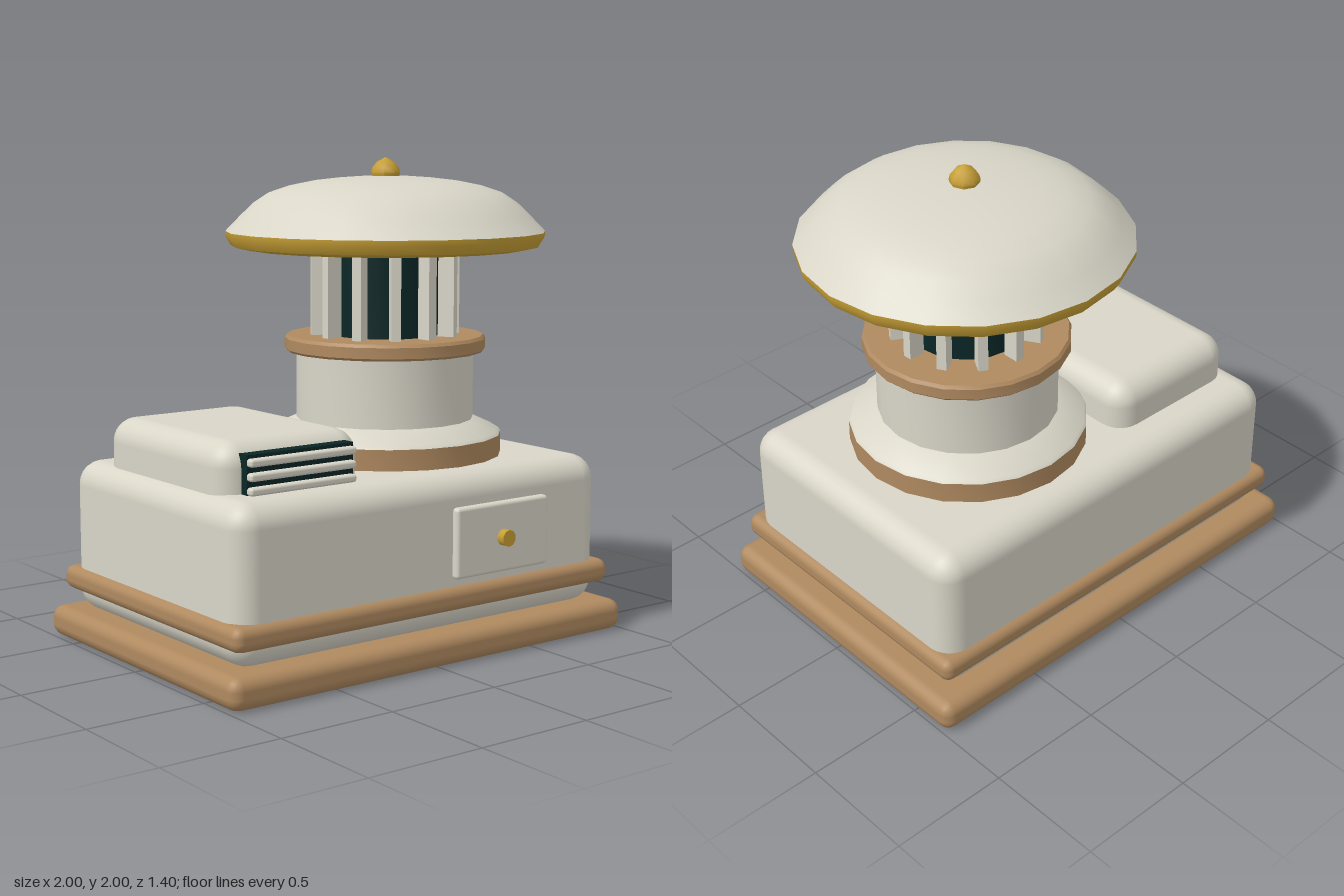
import * as THREE from 'three';
import { toCreasedNormals } from 'three/addons/utils/BufferGeometryUtils.js';
import { RoundedBoxGeometry } from 'three/addons/geometries/RoundedBoxGeometry.js';

const SIDES = 20;

function mat(name, color) {
  const m = new THREE.MeshStandardMaterial({ color });
  m.name = name;
  return m;
}

export function createModel() {
  const cream = mat('cream', 0xd9d6c8);
  const tan = mat('tan', 0xb08a60);
  const gold = mat('gold', 0xc79f35);
  const dark = mat('dark teal', 0x0b2626);

  const model = new THREE.Group();
  model.name = 'ventilatorHouse';
  const turret = new THREE.Group();
  turret.name = 'turret';
  turret.position.x = 0.25;
  model.add(turret);

  function add(parent, name, geometry, material, x = 0, y = 0, z = 0) {
    const mesh = new THREE.Mesh(geometry, material);
    mesh.name = name;
    mesh.position.set(x, y, z);
    parent.add(mesh);
    return mesh;
  }

  // Rounded box given by its lower and upper limits
  function block(name, [x0, x1], [y0, y1], [z0, z1], radius, material, segments = 2) {
    const g = new RoundedBoxGeometry(x1 - x0, y1 - y0, z1 - z0, segments, radius);
    return add(model, name, g, material, (x0 + x1) / 2, (y0 + y1) / 2, (z0 + z1) / 2);
  }

  // Turned part from a [radius, height] profile, listed bottom to top
  function turned(name, profile, material, sides = SIDES, crease = 0.6) {
    const points = profile.map(([r, y]) => new THREE.Vector2(r, y));
    const g = toCreasedNormals(new THREE.LatheGeometry(points, sides), crease);
    return add(turret, name, g, material);
  }

  // Plinth, body and trim
  block('plinth', [-1, 1], [0, 0.13], [-0.7, 0.7], 0.05, tan);
  block('body', [-0.925, 0.925], [0.12, 0.755], [-0.625, 0.625], 0.1, cream, 3);
  block('bodyTrim', [-0.955, 0.955], [0.205, 0.305], [-0.655, 0.655], 0.04, tan);

  // Front hatch and knob
  block('hatch', [0.105, 0.595], [0.335, 0.625], [0.6, 0.655], 0.015, cream);
  const knob = add(model, 'hatchKnob', new THREE.CylinderGeometry(0.035, 0.035, 0.035, 10), gold, 0.35, 0.48, 0.6725);
  knob.rotation.x = Math.PI / 2;

  // Roof vent housing with louvred grille
  block('ventHousing', [-0.86, -0.19], [0.65, 0.952], [-0.45, 0.43], 0.1, cream, 3);
  add(model, 'grilleBack', new THREE.BoxGeometry(0.5, 0.16, 0.1), dark, -0.525, 0.83, 0.415);
  for (const y of [0.88, 0.825, 0.77]) {
    block('grilleSlat', [-0.775, -0.275], [y - 0.016, y + 0.016], [0.45, 0.495], 0.012, cream);
  }

  // Turret foot, drum and collar
  turned('turretFoot', [[0, 0.74], [0.495, 0.74], [0.495, 0.842]], tan);
  turned('turretShoulder', [[0.495, 0.842], [0.485, 0.855], [0.375, 0.905]], cream);
  turned('drum', [[0.375, 0.88], [0.375, 1.2]], cream);
  turned('collar', [[0.36, 1.19], [0.415, 1.19], [0.425, 1.2], [0.425, 1.245], [0.415, 1.258], [0, 1.258]], tan);

  // Lantern core with radial fins
  turned('lanternCore', [[0.23, 1.25], [0.23, 1.63]], dark);
  for (let i = 0; i < 12; i++) {
    const a = (i / 12) * Math.PI * 2;
    const fin = add(turret, 'lanternFin', new THREE.BoxGeometry(0.04, 0.38, 0.07), cream,
      Math.sin(a) * 0.28, 1.44, Math.cos(a) * 0.28);
    fin.rotation.y = a;
  }

  // Cap with underside, gold rim and finial
  turned('capUnderside', [[0, 1.625], [0.6, 1.625]], cream);
  turned('capRim', [[0.575, 1.632], [0.59, 1.62], [0.65, 1.633], [0.672, 1.668], [0.673, 1.692]], gold);
  turned('capDome', [
    [0.673, 1.692], [0.61, 1.757], [0.555, 1.81], [0.49, 1.853], [0.4, 1.883],
    [0.305, 1.902], [0.2, 1.914], [0.1, 1.921], [0, 1.923],
  ], cream, SIDES, 0.8);
  turned('finial', [[0.055, 1.91], [0.062, 1.935], [0.057, 1.955], [0.037, 1.98], [0, 2]], gold, 8, 0.9);

  return model;
}
